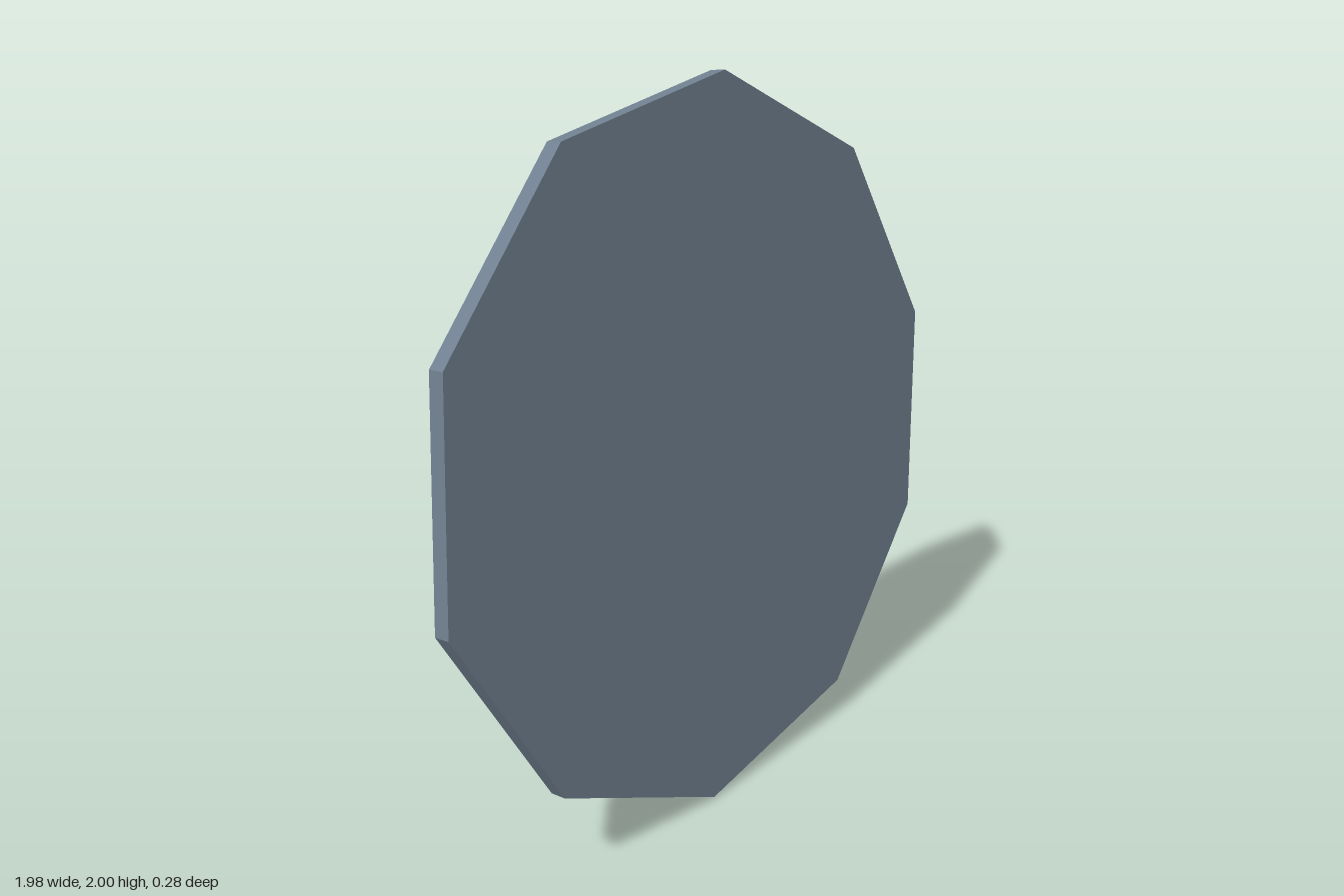
import * as THREE from 'three';

const SIDES = 10;
const STEP = (Math.PI * 2) / SIDES;
const FLOOR = 0.068; // depth of the recessed floor behind the flat front
const rad = THREE.MathUtils.degToRad;

const mat = (color) => new THREE.MeshStandardMaterial({ color, flatShading: true });

// Faceted lathe whose profile is [radius, depth], depth running toward the back (-z)
function turned(name, profile, material, segments = SIDES, start = rad(7.2), length = Math.PI * 2) {
  const points = profile.map(([r, d]) => new THREE.Vector2(r, d));
  const geometry = new THREE.LatheGeometry(points, segments, start, length);
  geometry.rotateX(-Math.PI / 2);
  const mesh = new THREE.Mesh(geometry, material);
  mesh.name = name;
  return mesh;
}

export function createModel() {
  const model = new THREE.Group();
  model.name = 'decagonalDisc';

  const slate = mat(0x708090);
  const teal = mat(0x0a9396);
  const blue = mat(0x0077b6);
  const grey = mat(0xcccccc);

  const disc = new THREE.Group();
  disc.name = 'disc';
  model.add(disc);

  // Flat front, thin edge, bevelled back and the wall of the recess
  disc.add(turned('frame', [
    [0, 0], [1.01, 0], [1.01, 0.048], [0.735, 0.125], [0.65, 0.125], [0.585, FLOOR],
  ], slate));

  // Alternating floor wedges, each with a faceted stud
  const studGeometry = new THREE.IcosahedronGeometry(0.048, 0);
  for (let i = 0; i < SIDES; i++) {
    disc.add(turned('floorWedge', [[0.585, FLOOR], [0, FLOOR]],
      i % 2 ? blue : teal, 1, rad(43.2) - i * STEP, STEP));

    const angle = rad(28.8) + i * STEP;
    const stud = new THREE.Mesh(studGeometry, grey);
    stud.name = 'stud';
    stud.position.set(0.368 * Math.cos(angle), 0.368 * Math.sin(angle), -FLOOR - 0.025);
    stud.rotation.z = angle;
    disc.add(stud);
  }

  // Pointed central hub
  disc.add(turned('hub', [
    [0.08, FLOOR - 0.01], [0.087, 0.085], [0.068, 0.118], [0, 0.15],
  ], slate, 8));

  // Lean the disc slightly backward
  const facing = new THREE.Vector3(-0.015, 0.09, 1).normalize();
  disc.quaternion.setFromUnitVectors(new THREE.Vector3(0, 0, 1), facing);
  disc.position.set(0, 1.003, 0.053);

  return model;
}
